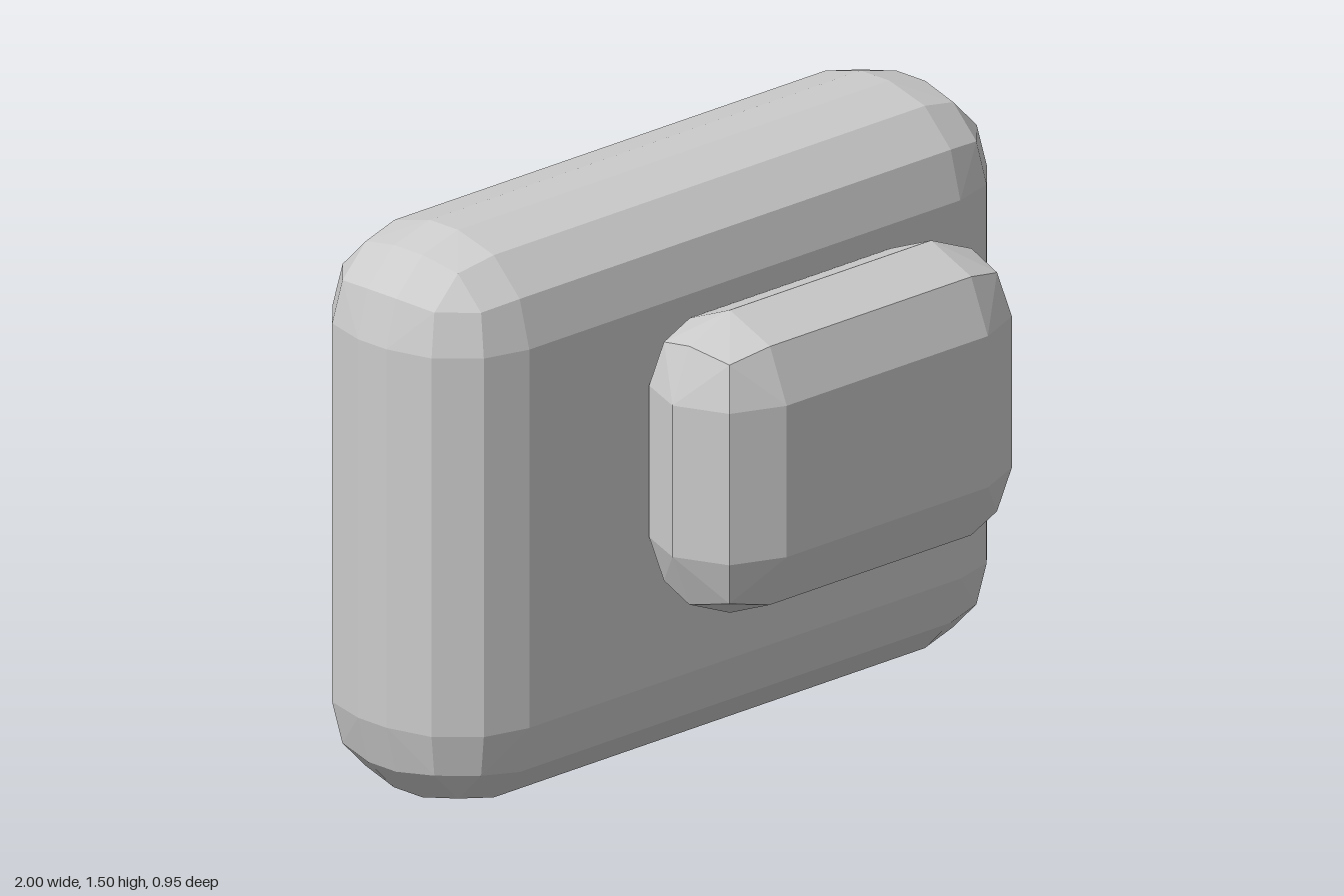
import * as THREE from 'three';
import { ConvexGeometry } from 'three/addons/geometries/ConvexGeometry.js';

// Faceted rounded box: hull of eight sphere octants, one at each inner corner.
// Each quarter arc is split into the given number of segments (2 or 3).
function roundedBlock(width, height, depth, radius, segments) {
  const step = Math.tan(Math.PI / 2 / segments);
  const inner = [width, height, depth].map((size) => Math.max(0, size / 2 - radius));
  const points = new Map();
  for (const sx of [-1, 1]) for (const sy of [-1, 1]) for (const sz of [-1, 1]) {
    const signs = [sx, sy, sz];
    for (let axis = 0; axis < 3; axis++) {
      for (const a of [0, step]) for (const b of [0, step]) {
        const dir = [0, 0, 0];
        dir[axis] = 1;
        dir[(axis + 1) % 3] = a;
        dir[(axis + 2) % 3] = b;
        const length = Math.hypot(...dir);
        const p = dir.map((d, i) => signs[i] * (inner[i] + (radius * d) / length));
        // Shared points are kept once
        const key = p.map((v) => Math.round(v * 1e4)).join();
        points.set(key, new THREE.Vector3(...p));
      }
    }
  }
  return new ConvexGeometry([...points.values()]);
}

export function createModel() {
  const model = new THREE.Group();
  model.name = 'roundedBlockWithPanel';
  const grey = new THREE.MeshStandardMaterial({ color: 0xcccccc, flatShading: true });

  // Large upright body
  const body = new THREE.Mesh(roundedBlock(2, 1.5, 0.6, 0.25, 3), grey);
  body.name = 'body';
  body.position.set(0, 0.75, -0.175);

  // Smaller block set into the front, off to one side
  const frontPanel = new THREE.Mesh(roundedBlock(1.1, 0.8, 0.4, 0.2, 2), grey);
  frontPanel.name = 'frontPanel';
  frontPanel.position.set(0.15, 0.85, 0.275);

  model.add(body, frontPanel);
  return model;
}
